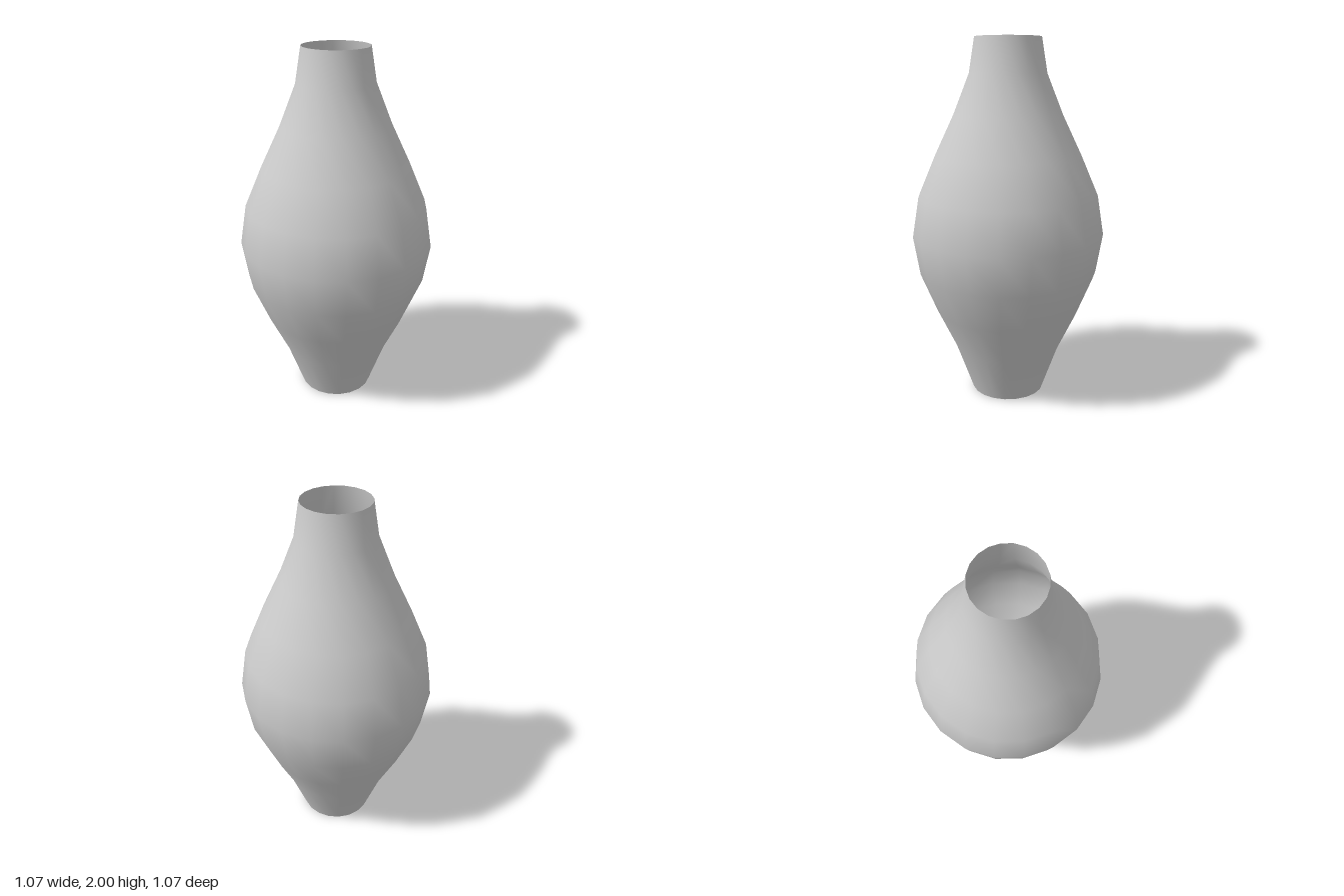
import * as THREE from 'three';

export function createModel() {
  const group = new THREE.Group();
  group.name = 'vase';

  // Open, thin-walled body: [radius, height] from the foot to the lip
  const profile = [
    [0.205, 0], [0.302, 0.27], [0.408, 0.493], [0.499, 0.714], [0.535, 0.93],
    [0.499, 1.151], [0.405, 1.37], [0.3, 1.59], [0.212, 1.81], [0.181, 2],
  ].map(([r, y]) => new THREE.Vector2(r, y));

  const body = new THREE.Mesh(
    new THREE.LatheGeometry(profile, 20),
    new THREE.MeshStandardMaterial({ color: 0xcccccc, side: THREE.DoubleSide })
  );
  body.name = 'vaseBody';
  group.add(body);
  return group;
}
